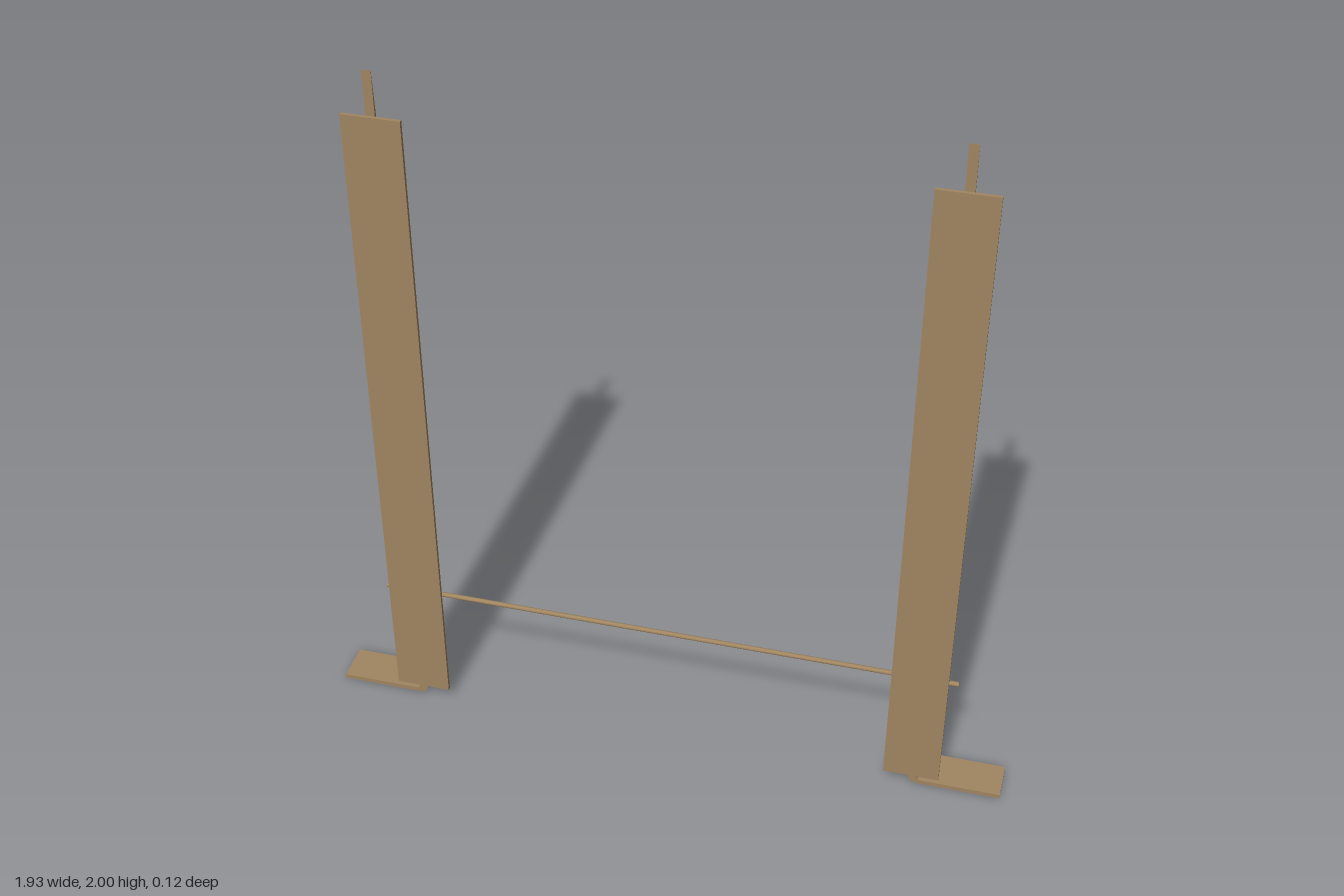
import * as THREE from 'three';

export function createModel() {
  const model = new THREE.Group();
  const wood = new THREE.MeshStandardMaterial({ color: 0xa08560 });
  wood.name = 'tan';

  const add = (parent, name, geometry, x = 0, y = 0, z = 0) => {
    const mesh = new THREE.Mesh(geometry, wood);
    mesh.name = name;
    mesh.position.set(x, y, z);
    parent.add(mesh);
    return mesh;
  };

  const inner = 0.706, outer = 0.73, front = 0.052, back = -0.06, bendTop = 0.03;

  // Tapered fin standing on edge behind the front plate
  function finGeometry() {
    const s = new THREE.Shape();
    s.moveTo(-front, bendTop);
    s.lineTo(-back, bendTop);
    s.lineTo(-back, 0.09);
    s.lineTo(-front + 0.001, 2);
    s.lineTo(-front, 2);
    s.closePath();
    const g = new THREE.ExtrudeGeometry(s, { depth: outer - inner, bevelEnabled: false });
    // shape x runs towards -z, extrusion runs along +x
    g.rotateY(Math.PI / 2);
    return g.translate(inner, 0, 0);
  }

  // Foot that curves out of the fin and lies flat on the ground
  function footGeometry() {
    const s = new THREE.Shape();
    s.moveTo(inner, bendTop);
    s.quadraticCurveTo(inner + 0.003, 0, 0.738, 0);
    s.lineTo(0.965, 0);
    s.lineTo(0.965, 0.013);
    s.lineTo(0.742, 0.013);
    s.quadraticCurveTo(outer, 0.014, outer, bendTop);
    s.closePath();
    const g = new THREE.ExtrudeGeometry(s, { depth: front - back, bevelEnabled: false, curveSegments: 5 });
    return g.translate(0, 0, back);
  }

  // One upright on each side, turned so that the feet point outwards
  for (const side of [1, -1]) {
    const upright = new THREE.Group();
    upright.name = side > 0 ? 'leftUpright' : 'rightUpright';
    add(upright, 'frontPlate', new THREE.BoxGeometry(0.154, 1.844, 0.01), 0.716, 0.958, 0.057);
    add(upright, 'fin', finGeometry());
    add(upright, 'foot', footGeometry());
    upright.scale.x = side;
    model.add(upright);
  }

  // Thin rod running through both fins
  const rod = new THREE.CylinderGeometry(0.007, 0.007, 1.634, 12).rotateZ(Math.PI / 2);
  add(model, 'crossRod', rod, 0, 0.362, 0.016);

  return model;
}
